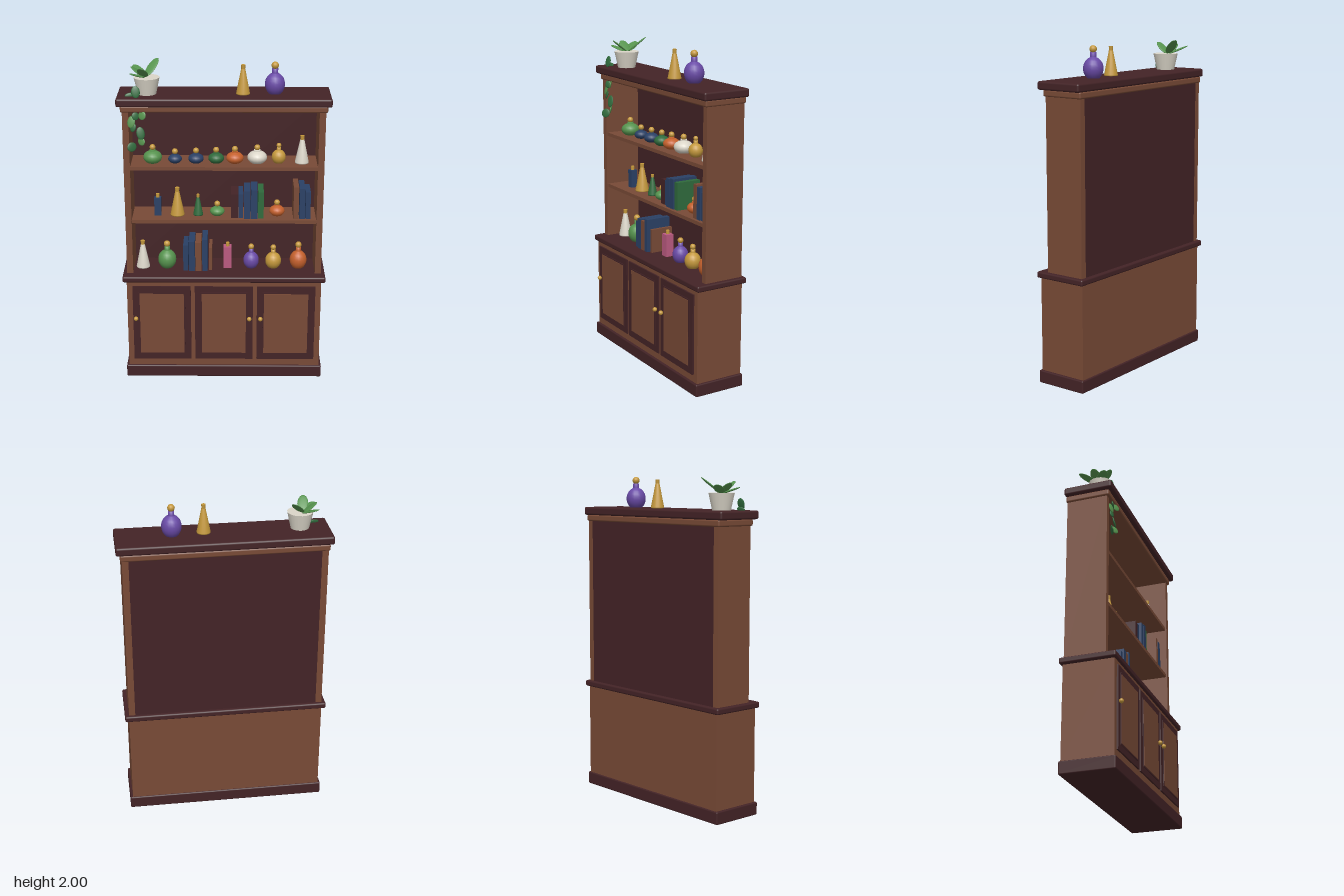
import * as THREE from 'three';
import { RoundedBoxGeometry } from 'three/addons/geometries/RoundedBoxGeometry.js';

const makeMat = (name, color, flatShading = false) => {
  const m = new THREE.MeshStandardMaterial({ color, flatShading });
  m.name = name;
  return m;
};

export function createModel() {
  const C = {
    wood: makeMat('brown wood', 0x784a36),
    dark: makeMat('dark wood', 0x432326),
    leaf: makeMat('light green', 0x56934e),
    green: makeMat('dark green', 0x2f6a3c),
    blue: makeMat('navy blue', 0x2a4065),
    gold: makeMat('gold', 0xc4983c),
    purple: makeMat('purple', 0x694aa6),
    orange: makeMat('orange', 0xc4602c),
    white: makeMat('ivory', 0xdad5c8),
    pink: makeMat('pink', 0xba5a80),
  };
  const root = new THREE.Group();
  root.name = 'displayCabinet';

  const add = (name, geo, mat, x, y, z, parent = root) => {
    const m = new THREE.Mesh(geo, mat);
    m.name = name;
    m.position.set(x, y, z);
    parent.add(m);
    return m;
  };
  // Box given by its limits on each axis; r rounds the edges
  const block = (name, mat, [x0, x1], [y0, y1], [z0, z1], r = 0) => {
    const s = [x1 - x0, y1 - y0, z1 - z0];
    const geo = r ? new RoundedBoxGeometry(...s, 2, r) : new THREE.BoxGeometry(...s);
    return add(name, geo, mat, (x0 + x1) / 2, (y0 + y1) / 2, (z0 + z1) / 2);
  };

  // Lower cabinet
  block('plinth', C.dark, [-0.615, 0.615], [0, 0.078], [-0.173, 0.16], 0.008);
  block('lowerCabinet', C.wood, [-0.6, 0.6], [0.07, 0.66], [-0.165, 0.146]);
  block('counter', C.dark, [-0.625, 0.625], [0.653, 0.69], [-0.182, 0.161], 0.01);

  // Doors: dark frame, raised panel with sloped border, brass knob
  const frameShape = new THREE.Shape([[-0.18, -0.25], [0.18, -0.25], [0.18, 0.25], [-0.18, 0.25]]
    .map(p => new THREE.Vector2(...p)));
  frameShape.holes.push(new THREE.Path([[-0.143, -0.21], [-0.143, 0.21], [0.143, 0.21], [0.143, -0.21]]
    .map(p => new THREE.Vector2(...p))));
  const frameGeo = new THREE.ExtrudeGeometry(frameShape, { depth: 0.012, bevelEnabled: false });
  [[-0.385, -0.162], [0, 0.158], [0.385, -0.158]].forEach(([x, knobX]) => {
    const door = new THREE.Group();
    door.name = 'door';
    door.position.set(x, 0.375, 0.144);
    root.add(door);
    add('doorFrame', frameGeo, C.dark, 0, 0, 0, door);
    add('doorPanelEdge', new THREE.BoxGeometry(0.29, 0.424, 0.018), C.dark, 0, 0, 0.007, door);
    add('doorPanel', new THREE.BoxGeometry(0.274, 0.408, 0.004), C.wood, 0, 0, 0.016, door);
    add('doorKnob', new THREE.SphereGeometry(0.014, 16, 12), C.gold, knobX, 0.035, 0.023, door);
  });

  // Upper hutch
  for (const s of [-1, 1]) {
    add('sidePanel', new THREE.BoxGeometry(0.038, 1.04, 0.253), C.wood, s * 0.581, 1.205, -0.0335);
  }
  block('backPanel', C.dark, [-0.563, 0.563], [0.68, 1.725], [-0.159, -0.142]);
  for (const y of [1.04, 1.38]) {
    block('shelf', C.wood, [-0.563, 0.563], [y - 0.022, y], [-0.155, 0.085]);
  }
  block('cornice', C.wood, [-0.61, 0.61], [1.722, 1.762], [-0.167, 0.107], 0.01);
  block('topBoard', C.dark, [-0.633, 0.633], [1.76, 1.81], [-0.172, 0.13], 0.012);

  // Bottles: each stands at (x, y), radius r, total height h with its stopper
  const lathe = pts => new THREE.LatheGeometry(pts.map(p => new THREE.Vector2(...p)), 18);
  const bottle = (kind, mat, x, y, r, h, z = -0.01) => {
    const g = new THREE.Group();
    g.name = kind + 'Bottle';
    g.position.set(x, y, z);
    root.add(g);
    if (kind === 'round' || kind === 'squat') {
      const ball = kind === 'round' ? 0.11 * h + 0.001 : 0.018;
      const top = h - 2 * ball + 0.004;
      const neck = kind === 'round' ? 0.3 * r : 0.34 * r;
      const body = kind === 'round' ? top * 0.83 : top * 0.92;
      const pts = [[0.0001, 0], [0.6 * r, 0]];
      for (let i = 1; i <= 8; i++) {
        const a = -0.93 + i * 0.27;
        pts.push([Math.max(neck, r * Math.cos(a)), body * (0.45 + 0.55 * Math.sin(a))]);
      }
      pts.push([neck, body], [neck, top], [0.0001, top]);
      add('glass', lathe(pts), mat, 0, 0, 0, g);
      add('stopper', new THREE.SphereGeometry(ball, 14, 10), C.gold, 0, h - ball, 0, g);
    } else if (kind === 'cone') {
      const t = h * 0.86;
      add('glass', lathe([[0.0001, 0], [r, 0], [r, 0.006], [r * 0.3, t], [0.0001, t]]), mat, 0, 0, 0, g);
      add('stopper', new THREE.CylinderGeometry(r * 0.32, r * 0.28, h - t, 12), C.gold, 0, (h + t) / 2, 0, g);
    } else {
      const t = h - 0.024;
      add('glass', new THREE.BoxGeometry(2 * r, t, 2 * r), mat, 0, t / 2, 0, g);
      add('stopper', new THREE.CylinderGeometry(0.011, 0.011, 0.026, 12), C.gold, 0, h - 0.013, 0, g);
    }
  };

  // Bottom shelf
  bottle('cone', C.white, -0.507, 0.69, 0.042, 0.175);
  bottle('round', C.leaf, -0.356, 0.69, 0.057, 0.175);
  bottle('square', C.pink, 0.022, 0.69, 0.025, 0.165);
  bottle('round', C.purple, 0.169, 0.69, 0.049, 0.155);
  bottle('round', C.gold, 0.307, 0.69, 0.05, 0.15);
  bottle('round', C.orange, 0.463, 0.69, 0.053, 0.17);
  // Middle shelf
  bottle('square', C.blue, -0.407, 1.04, 0.021, 0.137);
  bottle('cone', C.gold, -0.287, 1.04, 0.043, 0.177);
  bottle('cone', C.green, -0.16, 1.04, 0.03, 0.133);
  bottle('squat', C.leaf, -0.042, 1.04, 0.045, 0.09);
  bottle('squat', C.orange, 0.325, 1.04, 0.047, 0.1);
  // Upper shelf
  bottle('squat', C.leaf, -0.432, 1.38, 0.057, 0.113);
  bottle('squat', C.blue, -0.297, 1.38, 0.042, 0.087);
  bottle('squat', C.blue, -0.17, 1.38, 0.047, 0.092);
  bottle('squat', C.green, -0.048, 1.38, 0.048, 0.097);
  bottle('squat', C.orange, 0.065, 1.38, 0.053, 0.103);
  bottle('squat', C.white, 0.2, 1.38, 0.06, 0.113);
  bottle('round', C.gold, 0.33, 1.38, 0.043, 0.123);
  bottle('cone', C.white, 0.47, 1.38, 0.042, 0.17);
  // Top board
  bottle('cone', C.gold, 0.112, 1.81, 0.041, 0.175, 0);
  bottle('round', C.purple, 0.3, 1.81, 0.06, 0.19, -0.015);

  // Rows of books: [colour, left edge, width, height]
  const books = (y, row) => row.forEach(([mat, x, w, h]) =>
    block('book', mat, [x, x + w - 0.003], [y, y + h], [-0.1, -0.1 + Math.min(0.165, 0.06 + h * 0.58)]));
  books(0.69, [[C.blue, -0.253, 0.033, 0.17], [C.blue, -0.218, 0.04, 0.196], [C.wood, -0.178, 0.04, 0.19],
    [C.blue, -0.135, 0.036, 0.21], [C.wood, -0.093, 0.022, 0.15]]);
  books(1.04, [[C.dark, 0.042, 0.045, 0.155], [C.blue, 0.089, 0.031, 0.155], [C.blue, 0.122, 0.042, 0.178],
    [C.blue, 0.165, 0.042, 0.185], [C.green, 0.208, 0.037, 0.17],
    [C.wood, 0.423, 0.035, 0.205], [C.blue, 0.46, 0.036, 0.195], [C.blue, 0.497, 0.033, 0.17]]);

  // Potted plant with upright leaves
  const pot = [-0.456, 1.81, 0];
  add('pot', new THREE.CylinderGeometry(0.077, 0.055, 0.1, 20), C.white, pot[0], pot[1] + 0.05, 0);
  const leafGeo = new THREE.SphereGeometry(1, 14, 10);
  const crown = new THREE.Vector3(-0.465, 1.905, -0.01);
  [[-0.535, 1.955, -0.11], [-0.4, 1.995, -0.105], [-0.545, 1.94, 0.055],
    [-0.485, 1.975, 0.075], [-0.545, 1.965, -0.02]].forEach(tip => {
    const end = new THREE.Vector3(...tip);
    const mid = crown.clone().lerp(end, 0.55);
    const m = add('plantLeaf', leafGeo, C.leaf, mid.x, mid.y, mid.z);
    m.scale.set(0.032, 0.006, crown.distanceTo(end) * 0.5);
    m.lookAt(end);
  });

  // Trailing leaves: [x, y, z, half width, half height, roll, colour]
  [[-0.515, 1.845, 0.1, 0.026, 0.035, 0.1, C.green], [-0.555, 1.815, 0.06, 0.028, 0.015, 0.2, C.green],
    [-0.52, 1.7, 0.1, 0.022, 0.024, 0.4, C.green], [-0.48, 1.705, 0.105, 0.026, 0.026, -0.5, C.leaf],
    [-0.545, 1.665, 0.1, 0.024, 0.036, -0.2, C.leaf], [-0.492, 1.595, 0.1, 0.025, 0.038, 0.2, C.green],
    [-0.488, 1.545, 0.1, 0.027, 0.024, -0.6, C.leaf], [-0.545, 1.512, 0.105, 0.03, 0.028, 0.5, C.green],
    [-0.535, 1.63, 0.1, 0.018, 0.026, -0.3, C.green]]
    .forEach(([x, y, z, w, h, roll, mat]) => {
      const m = add('vineLeaf', leafGeo, mat, x, y, z);
      m.scale.set(w, h, 0.006);
      m.rotation.set(-0.25, roll, roll);
    });

  return root;
}
